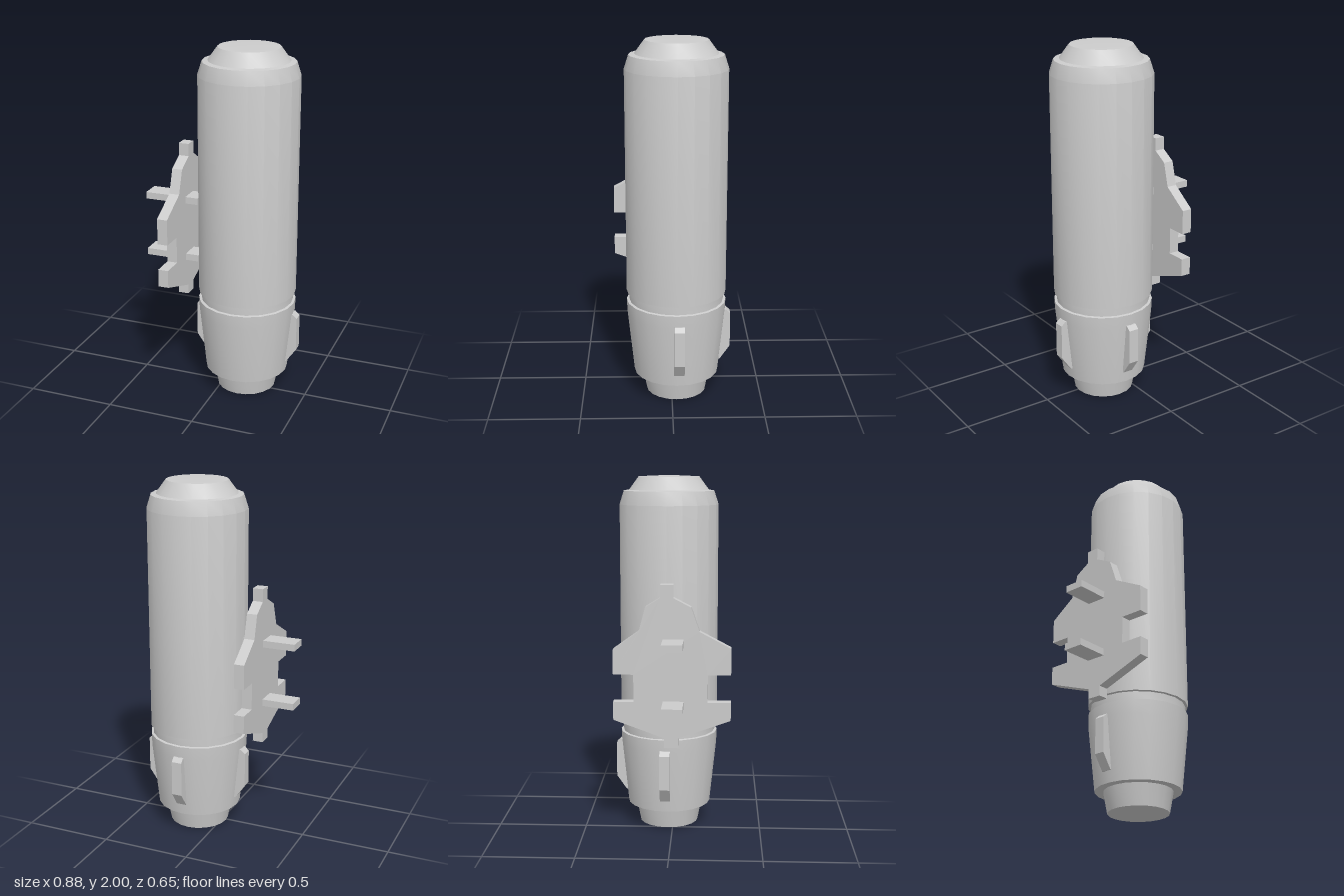
import * as THREE from 'three';
import { toCreasedNormals } from 'three/addons/utils/BufferGeometryUtils.js';

const CX = 0.134, CZ = -0.026; // axis of the canister

export function createModel() {
  const model = new THREE.Group();
  const material = new THREE.MeshStandardMaterial({ color: 0xcccccc });

  const add = (name, geometry) => {
    const mesh = new THREE.Mesh(geometry, material);
    mesh.name = name;
    model.add(mesh);
    return mesh;
  };
  const extrude = (points, depth) => new THREE.ExtrudeGeometry(
    new THREE.Shape(points.map(([x, y]) => new THREE.Vector2(x, y))),
    { depth, bevelEnabled: false });

  // Canister: nozzle, tapered base, groove, long barrel and chamfered cap
  const profile = [
    [0, 0], [0.167, 0.008], [0.189, 0.126], [0.236, 0.126], [0.273, 0.48],
    [0.276, 0.553], [0.262, 0.556], [0.262, 0.602], [0.276, 0.605],
    [0.276, 1.84], [0.252, 1.915], [0.222, 1.92], [0.169, 1.992], [0, 2],
  ].map(([r, y]) => new THREE.Vector2(r, y));
  const body = add('canister', toCreasedNormals(new THREE.LatheGeometry(profile, 20), 0.4));
  body.position.set(CX, 0, CZ);

  // Three fins around the tapered base: left, back and right
  const finProfile = [[0.22, 0.19], [0.245, 0.19], [0.302, 0.272], [0.302, 0.468], [0.278, 0.49], [0.22, 0.49]];
  const finWidth = 0.058;
  ['leftFin', 'backFin', 'rightFin'].forEach((name, i) => {
    const geometry = extrude(finProfile, finWidth);
    geometry.translate(0, 0, -finWidth / 2);
    const fin = add(name, geometry);
    fin.rotation.y = i * Math.PI / 2;
    fin.position.set(CX, 0, i === 1 ? CZ : -0.038);
  });

  // Side plate with notched edges, outlined as (z, y)
  const plateProfile = [
    [0.043, 0.545], [0.043, 0.6], [0.325, 0.7], [0.325, 0.8], [0.2, 0.8], [0.2, 0.95],
    [0.325, 0.95], [0.325, 1.095], [0.155, 1.185], [0.11, 1.315], [0.015, 1.365], [0.015, 1.435],
    [-0.055, 1.435], [-0.055, 1.365], [-0.135, 1.315], [-0.17, 1.185], [-0.31, 1.085], [-0.31, 0.95],
    [-0.2, 0.95], [-0.2, 0.8], [-0.31, 0.8], [-0.31, 0.7], [-0.035, 0.6], [-0.035, 0.545],
  ];
  const plate = extrude(plateProfile, 0.058);
  plate.rotateY(-Math.PI / 2);
  plate.translate(-0.202, 0, 0);
  add('sidePlate', plate);

  // Two flat arms passing through the plate to the canister
  [['lowerArm', 0.785], ['upperArm', 1.125]].forEach(([name, y]) => {
    const arm = add(name, new THREE.BoxGeometry(0.312, 0.038, 0.112));
    arm.position.set(-0.284, y, 0.014);
  });

  return model;
}
